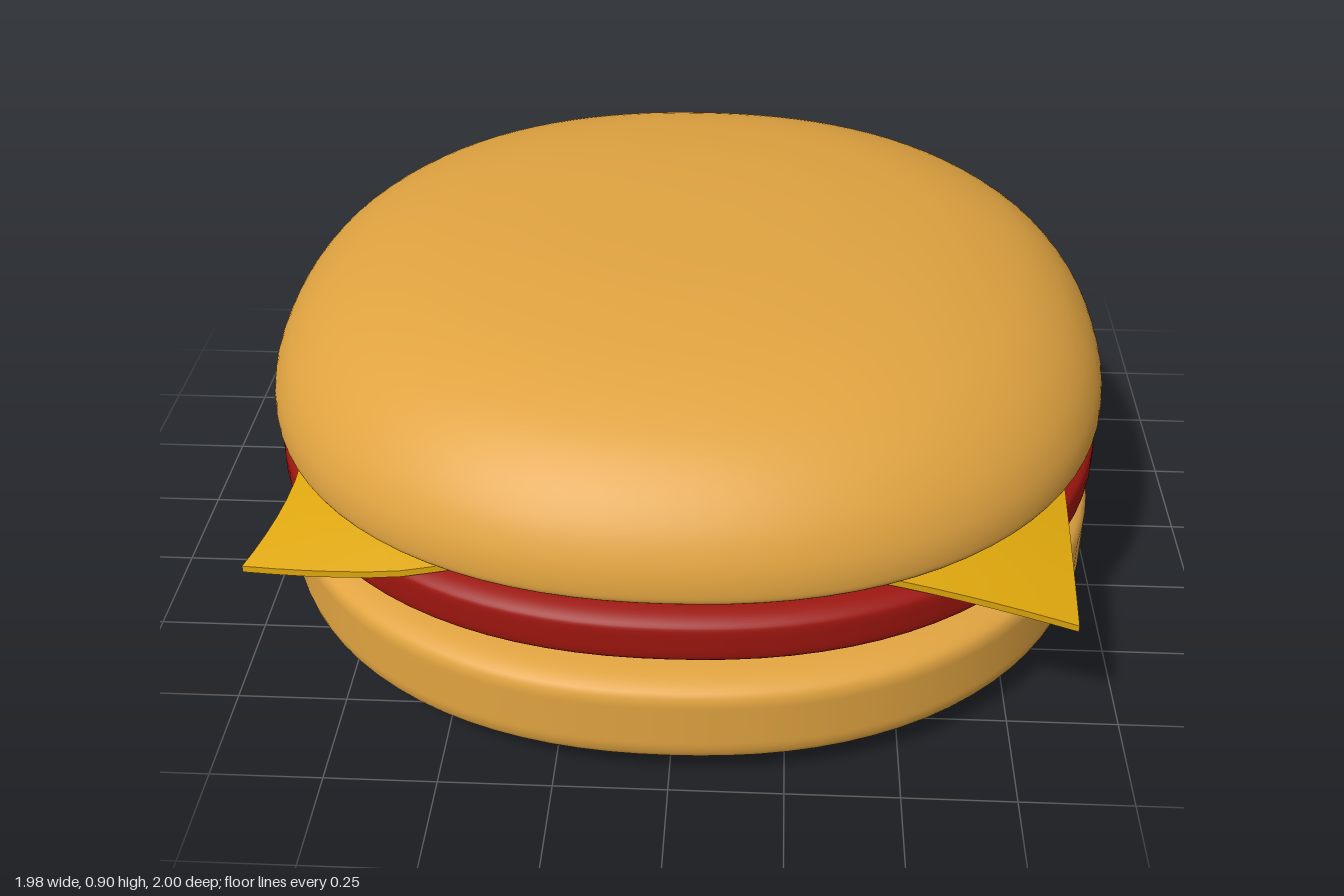
import * as THREE from 'three';
import { mergeVertices } from 'three/addons/utils/BufferGeometryUtils.js';

const RADIUS = 0.99;
const SQUARENESS = 2.2; // 2 is a true circle, higher is squarer

const paint = (color) => new THREE.MeshStandardMaterial({ color });

// Smooth, slightly squared round layer from a bottom-to-top [radius, y] profile
function roundLayer(name, profile, material, z) {
  const curve = new THREE.SplineCurve(profile.map(([r, y]) => new THREE.Vector2(r, y)));
  const points = curve.getPoints(profile.length * 5);
  points.forEach((p) => { p.x = THREE.MathUtils.clamp(p.x, 0, RADIUS); });
  let geometry = new THREE.LatheGeometry(points, 96);
  const pos = geometry.attributes.position;
  for (let i = 0; i < pos.count; i++) {
    const x = pos.getX(i), zz = pos.getZ(i);
    const a = Math.atan2(zz, x);
    const norm = Math.abs(Math.cos(a)) ** SQUARENESS + Math.abs(Math.sin(a)) ** SQUARENESS;
    const k = norm ** (-1 / SQUARENESS);
    pos.setX(i, x * k);
    pos.setZ(i, zz * k);
  }
  // Weld the seam so the shading is continuous
  geometry.deleteAttribute('uv');
  geometry.deleteAttribute('normal');
  geometry = mergeVertices(geometry, 1e-5);
  geometry.computeVertexNormals();
  const mesh = new THREE.Mesh(geometry, material);
  mesh.name = name;
  mesh.position.z = z;
  return mesh;
}

// Thin uneven square slice whose corners droop over the patty
function cheeseSlice(material) {
  const thickness = 0.016;
  const geometry = new THREE.BoxGeometry(1, thickness, 1, 28, 1, 28);
  const pos = geometry.attributes.position;
  const mix = THREE.MathUtils.lerp;
  for (let i = 0; i < pos.count; i++) {
    const u = pos.getX(i) + 0.5, v = pos.getZ(i) + 0.5;
    let x = mix(mix(-0.82, 0.88, u), mix(-0.88, 0.86, u), v);
    let z = mix(mix(-0.91, -0.89, u), mix(0.84, 0.85, u), v);
    const drop = 0.44 * Math.max(0, Math.hypot(x, z) - 0.92);
    // The front right corner is curled inward and backward
    const fold = Math.max(0, ((z - x) / Math.SQRT2 - 0.98) / 0.236);
    x -= 0.07 * fold ** 1.5;
    z -= 0.11 * fold ** 1.5;
    pos.setXYZ(i, x, 0.484 + pos.getY(i) - drop, z);
  }
  geometry.computeVertexNormals();
  const mesh = new THREE.Mesh(geometry, material);
  mesh.name = 'cheeseSlice';
  return mesh;
}

export function createModel() {
  const group = new THREE.Group();
  group.name = 'burger';
  const bun = paint(0xe0a340);
  const meat = paint(0x9c150e);
  const cheese = paint(0xdca50c);

  group.add(roundLayer('bottomBun', [
    [0, 0], [0.4, 0.004], [0.75, 0.018], [0.9, 0.04], [0.97, 0.072], [0.99, 0.115],
    [0.99, 0.17], [0.99, 0.23], [0.97, 0.262], [0.9, 0.28], [0.7, 0.293], [0.4, 0.3], [0, 0.302],
  ], bun, 0));

  group.add(roundLayer('patty', [
    [0, 0.3], [0.5, 0.302], [0.8, 0.31], [0.93, 0.322], [0.98, 0.342], [0.99, 0.37],
    [0.99, 0.41], [0.98, 0.435], [0.93, 0.453], [0.8, 0.464], [0.5, 0.472], [0, 0.475],
  ], meat, -0.01));

  group.add(cheeseSlice(cheese));

  group.add(roundLayer('topBun', [
    [0, 0.472], [0.5, 0.474], [0.8, 0.48], [0.93, 0.489], [0.98, 0.505], [0.99, 0.535],
    [0.98, 0.595], [0.945, 0.665], [0.88, 0.735], [0.78, 0.797], [0.62, 0.85],
    [0.4, 0.882], [0.2, 0.894], [0, 0.897],
  ], bun, 0.01));

  return group;
}
